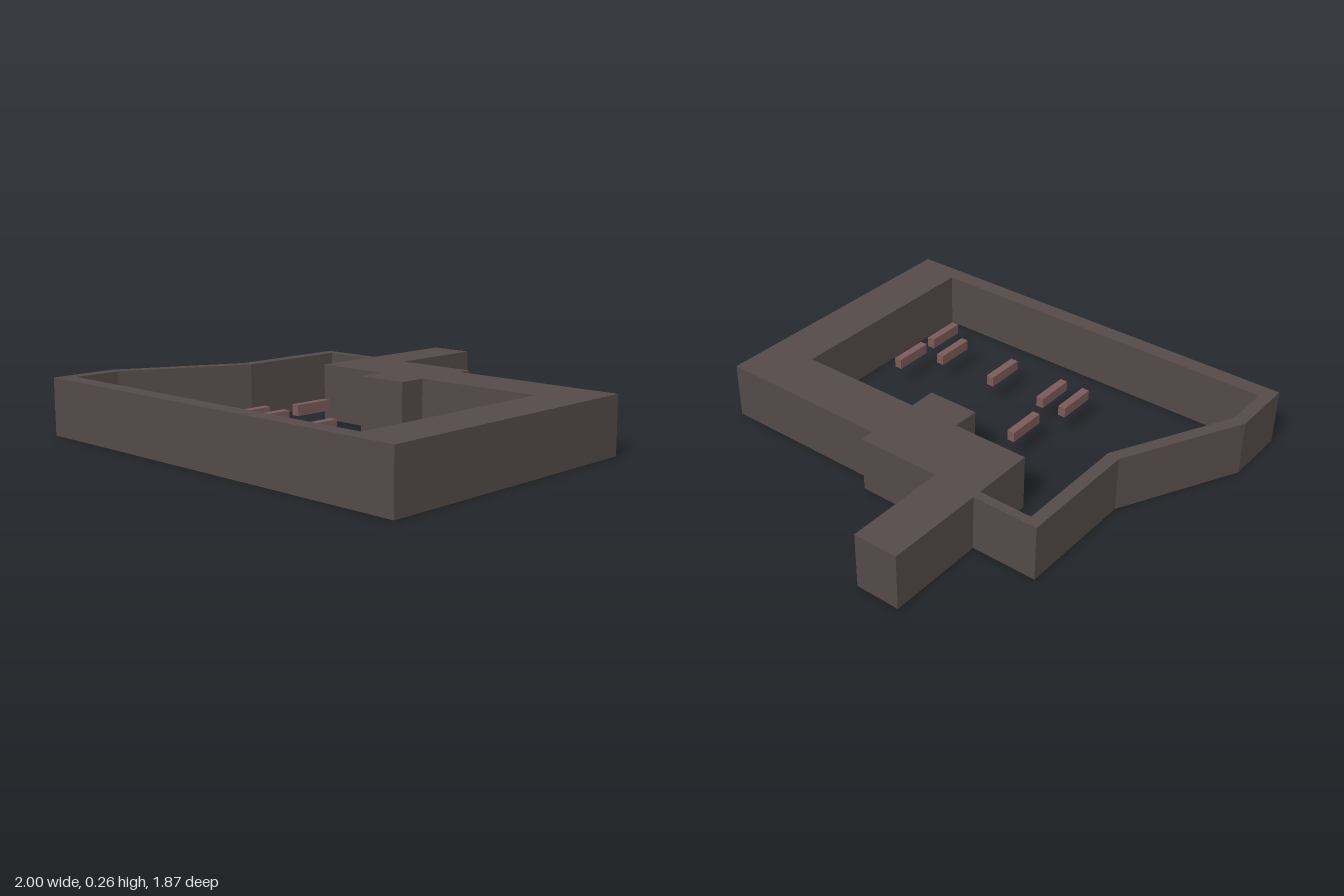
import * as THREE from 'three';

const HEIGHT = 0.257;

// Plan points are [x, z]; the shape is later laid flat, so z is flipped here.
const toPlan = (points) => points.map(([x, z]) => new THREE.Vector2(x, -z));

export function createModel() {
  const wallBrown = new THREE.MeshStandardMaterial({ color: 0x544a49 });
  const dustyRed = new THREE.MeshStandardMaterial({ color: 0x7b5a5a });
  const model = new THREE.Group();
  model.name = 'walledCourtyard';

  // Continuous wall ring with the wide rear block, rear wing and thick side wall
  const plan = new THREE.Shape(toPlan([
    [-0.422, -0.933], [-0.216, -0.933], [-0.216, -0.462], [0.179, -0.462],
    [0.179, -0.398], [1, -0.398], [1, 0.933], [-1, 0.933],
    [-1, 0.63], [-0.725, 0.085], [-0.725, -0.478], [-0.422, -0.478],
  ]));
  // Courtyard opening, wound opposite to the outline so its walls face inward
  plan.holes.push(new THREE.Path(toPlan([
    [-0.668, 0.092], [-0.942, 0.637], [-0.942, 0.856], [0.777, 0.856],
    [0.777, -0.143], [0.179, -0.143], [0.179, -0.014], [-0.063, -0.014],
    [-0.063, -0.143], [-0.422, -0.143], [-0.422, -0.435], [-0.668, -0.435],
  ])));
  const wallGeometry = new THREE.ExtrudeGeometry(plan, { depth: HEIGHT, bevelEnabled: false });
  wallGeometry.rotateX(-Math.PI / 2);
  const wall = new THREE.Mesh(wallGeometry, wallBrown);
  wall.name = 'perimeterWall';
  model.add(wall);

  // Small bars held at mid height inside the courtyard
  const barGeometry = new THREE.BoxGeometry(0.036, 0.048, 0.186);
  const bars = new THREE.Group();
  bars.name = 'courtyardBars';
  for (const [x, z] of [
    [-0.18, 0.178], [-0.242, 0.469], [-0.122, 0.469], [0.16, 0.469],
    [0.458, 0.469], [0.589, 0.319], [0.589, 0.558],
  ]) {
    const bar = new THREE.Mesh(barGeometry, dustyRed);
    bar.name = 'bar';
    bar.position.set(x, HEIGHT / 2, z);
    bars.add(bar);
  }
  model.add(bars);

  return model;
}
